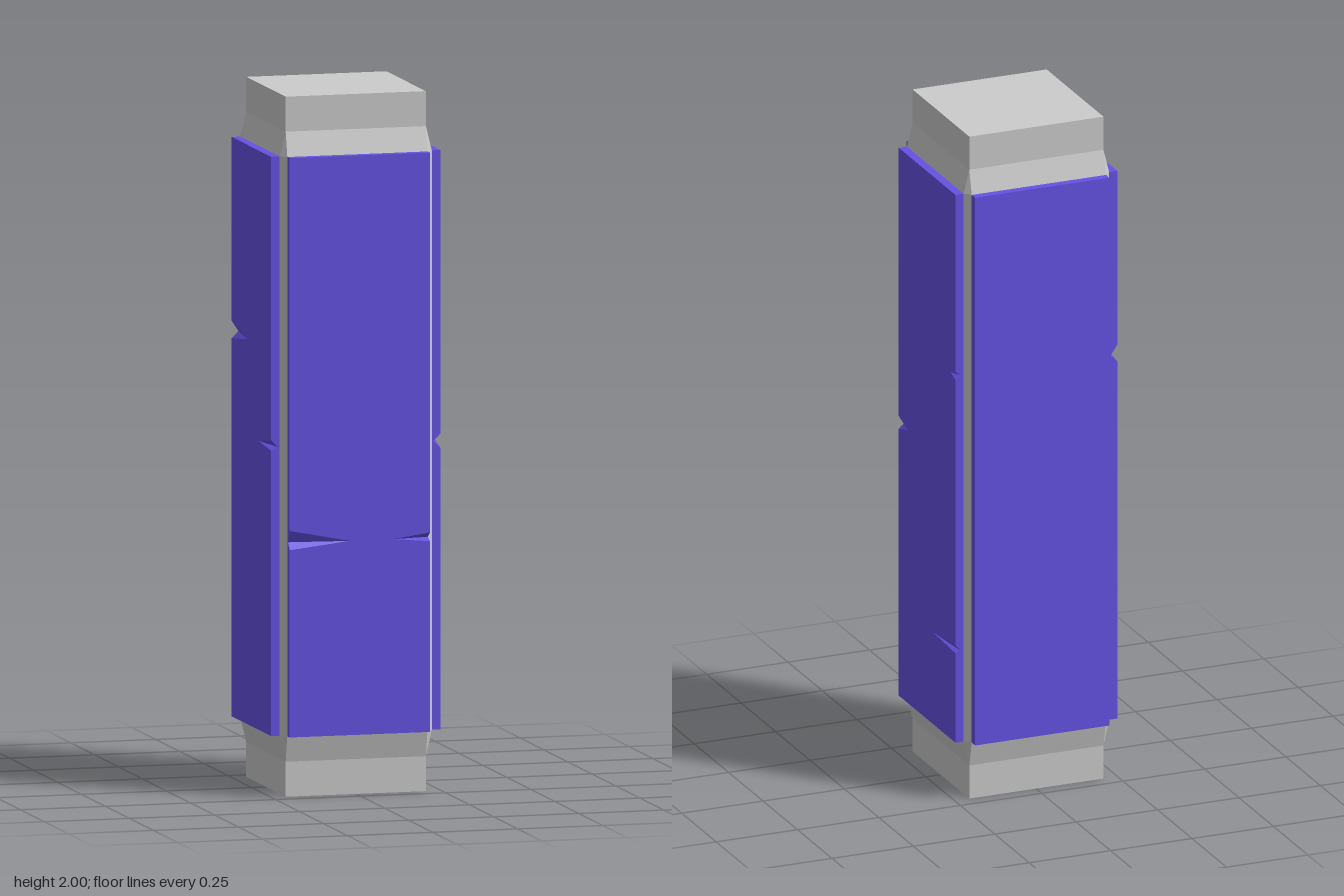
import * as THREE from 'three';
import { mergeGeometries } from 'three/addons/utils/BufferGeometryUtils.js';

const HALF = 0.206;              // half width of panels and column ends
const CORE = 0.2235;             // half width of the column's swollen middle
const THICK = 0.025;             // panel thickness
const BOTTOM = 0.175, TOP = 1.83; // panel height range

function fromTriangles(points) {
  const g = new THREE.BufferGeometry();
  g.setAttribute('position', new THREE.Float32BufferAttribute(points.flat(), 3));
  g.computeVertexNormals();
  return g;
}

const plain = (g) => {
  const n = g.toNonIndexed();
  n.deleteAttribute('uv');
  return n;
};

// Square column whose middle swells into a chamfered octagon
function columnGeometry() {
  const ring = (y, r) => {
    const pts = [];
    for (const [sx, sz] of [[1, 1], [1, -1], [-1, -1], [-1, 1]]) {
      const a = [sx * HALF, y, sz * r], b = [sx * r, y, sz * HALF];
      pts.push(...(sx * sz > 0 ? [a, b] : [b, a]));
    }
    return pts;
  };
  const rings = [[0, HALF], [0.1, HALF], [BOTTOM, CORE], [TOP, CORE], [1.9, HALF], [2, HALF]]
    .map(([y, r]) => ring(y, r));
  const tris = [];
  const add = (a, b, c) => {
    const same = (p, q) => p.every((v, i) => v === q[i]);
    if (!same(a, b) && !same(b, c) && !same(a, c)) tris.push(a, b, c);
  };
  for (let k = 0; k < rings.length - 1; k++) {
    for (let i = 0; i < 8; i++) {
      const j = (i + 1) % 8;
      const a = rings[k][i], b = rings[k][j], c = rings[k + 1][j], d = rings[k + 1][i];
      add(a, b, c);
      add(a, c, d);
    }
  }
  const [p, q] = [rings[0], rings[rings.length - 1]];
  for (let i = 2; i < 8; i += 2) {
    add(p[0], p[i], p[i - 2]);
    add(q[0], q[i - 2], q[i]);
  }
  return fromTriangles(tris);
}

// Panel facing +z; each notch is a wedge chipped into its left (-1) or right (+1) edge
function panelGeometry(notches) {
  const parts = [];
  const onSide = (s) => notches.filter((n) => n.side === s).sort((a, b) => a.lo - b.lo);

  // Front face
  const front = [[HALF, BOTTOM]];
  for (const n of onSide(1)) front.push([HALF, n.lo], [n.tip, n.mid], [HALF, n.hi]);
  front.push([HALF, TOP], [-HALF, TOP]);
  for (const n of onSide(-1).reverse()) front.push([-HALF, n.hi], [n.tip, n.mid], [-HALF, n.lo]);
  front.push([-HALF, BOTTOM]);
  const face = (pts) => new THREE.ShapeGeometry(new THREE.Shape(pts.map((p) => new THREE.Vector2(...p))));
  parts.push(plain(face(front).translate(0, 0, THICK)));

  // Narrow sides
  for (const s of [1, -1]) {
    const edge = [[0, BOTTOM], [-s * THICK, BOTTOM]];
    for (const n of onSide(s)) {
      edge.push([-s * THICK, n.lo], [-s * (THICK - n.depth), n.mid], [-s * THICK, n.hi]);
    }
    edge.push([-s * THICK, TOP], [0, TOP]);
    parts.push(plain(face(edge).rotateY(s * Math.PI / 2).translate(s * HALF, 0, 0)));
  }

  // Back, top and bottom
  const w = HALF * 2, h = TOP - BOTTOM;
  parts.push(plain(new THREE.PlaneGeometry(w, h).rotateY(Math.PI).translate(0, (TOP + BOTTOM) / 2, 0)));
  parts.push(plain(new THREE.PlaneGeometry(w, THICK).rotateX(-Math.PI / 2).translate(0, TOP, THICK / 2)));
  parts.push(plain(new THREE.PlaneGeometry(w, THICK).rotateX(Math.PI / 2).translate(0, BOTTOM, THICK / 2)));

  // Sloping walls of the notches
  for (const n of notches) {
    const x = n.side * HALF;
    const hi = [x, n.hi, THICK], lo = [x, n.lo, THICK];
    const deep = [x, n.mid, THICK - n.depth], tip = [n.tip, n.mid, THICK];
    parts.push(fromTriangles(n.side > 0
      ? [hi, tip, deep, lo, deep, tip]
      : [hi, deep, tip, lo, tip, deep]));
  }
  return mergeGeometries(parts);
}

const notch = (side, lo, mid, hi, tip, depth) => ({ side, lo, mid, hi, tip, depth });

export function createModel() {
  const model = new THREE.Group();
  model.name = 'panelledColumn';
  const grey = new THREE.MeshStandardMaterial({ color: 0xcccccc, flatShading: true });
  const blue = new THREE.MeshStandardMaterial({ color: 0x6552e5, flatShading: true });

  const column = new THREE.Mesh(columnGeometry(), grey);
  column.name = 'column';
  model.add(column);

  // One plank on each face, with its own chips
  const panels = [
    ['frontPanel', 0, [
      notch(-1, 0.71, 0.73, 0.765, -0.03, 0.02),
      notch(1, 0.72, 0.73, 0.745, 0.1, 0.02)]],
    ['leftPanel', Math.PI / 2, [
      notch(-1, 0.98, 1.0, 1.02, -0.14, 0.02),
      notch(1, 1.27, 1.283, 1.295, 0.17, 0.015),
      notch(1, 0.445, 0.452, 0.47, 0.04, 0.015)]],
    ['backPanel', Math.PI, []],
    ['rightPanel', -Math.PI / 2, [
      notch(-1, 1.255, 1.275, 1.305, -0.04, 0.02),
      notch(1, 0.99, 1.0, 1.02, 0.07, 0.02)]],
  ];
  for (const [name, angle, notches] of panels) {
    const panel = new THREE.Mesh(panelGeometry(notches), blue);
    panel.name = name;
    panel.rotation.y = angle;
    panel.position.set(Math.sin(angle) * CORE, 0, Math.cos(angle) * CORE);
    model.add(panel);
  }

  for (const part of model.children) part.position.add(new THREE.Vector3(-0.001, 0, -0.003));
  return model;
}
